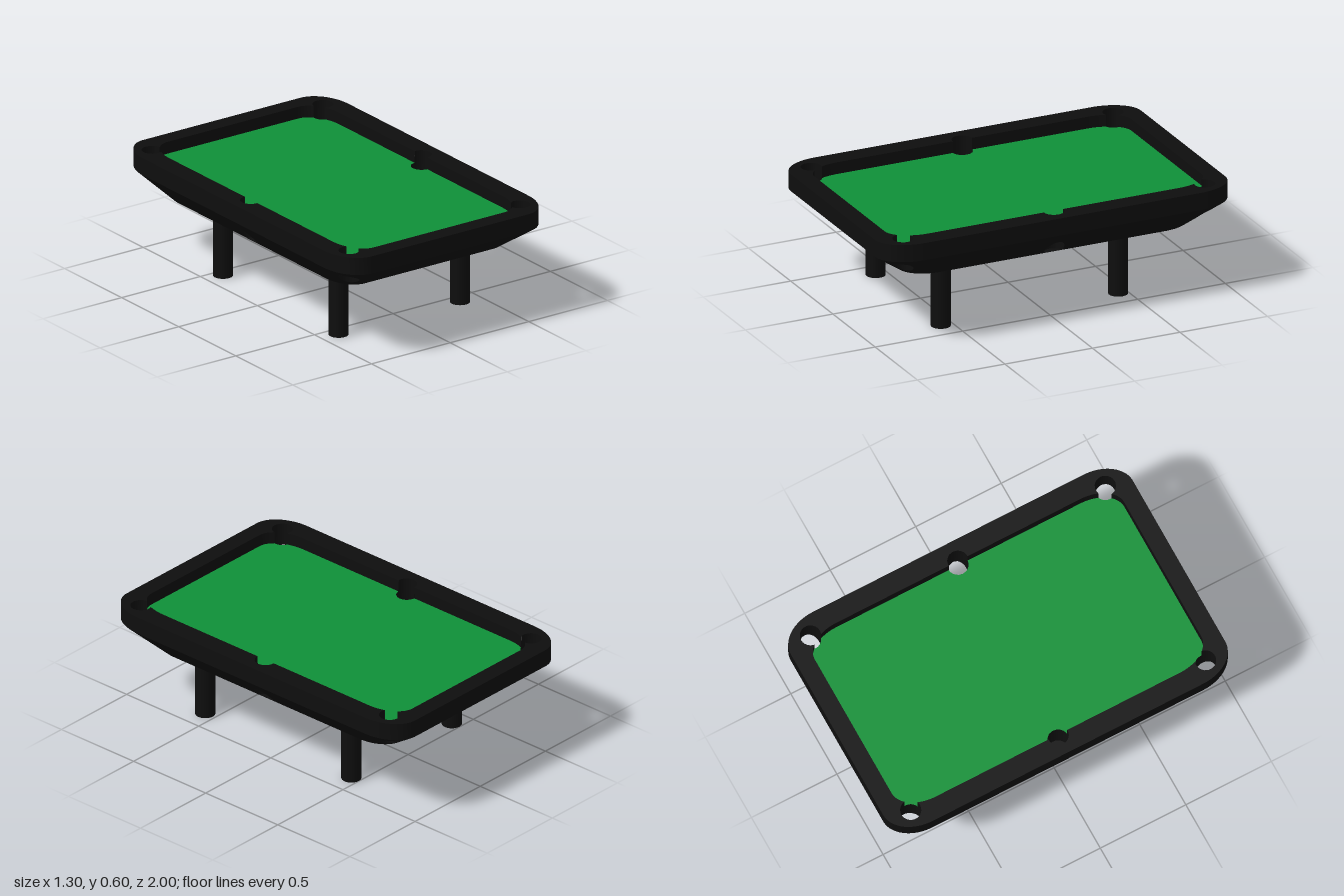
import * as THREE from 'three';
import { toCreasedNormals } from 'three/addons/utils/BufferGeometryUtils.js';

const TOP = 0.595, FELT = 0.53, EDGE = 0.5, BASE = 0.365;
const OUTER = [0.65, 1], BED = [0.54, 0.905], UNDER = [0.53, 0.815];
const RX = 0.23, RZ = 0.21; // corner radii as a share of the half sizes
const POCKET_R = 0.055;
const POCKETS = [];
for (const x of [-0.543, 0.543]) for (const z of [-0.862, 0, 0.862]) POCKETS.push([x, z]);

// Rounded rectangle of half size 1, walked from +x towards +z
function unitOutline() {
  const pts = [];
  const side = (x0, z0, x1, z1, n) => {
    for (let i = 0; i < n; i++) pts.push([x0 + (x1 - x0) * i / n, z0 + (z1 - z0) * i / n]);
  };
  const corner = (sx, sz, start, n = 20) => {
    for (let i = 0; i < n; i++) {
      const a = start + Math.PI / 2 * i / n;
      pts.push([sx * (1 - RX) + RX * Math.cos(a), sz * (1 - RZ) + RZ * Math.sin(a)]);
    }
  };
  side(1, RZ - 1, 1, 1 - RZ, 60);
  corner(1, 1, 0);
  side(1 - RX, 1, RX - 1, 1, 24);
  corner(-1, 1, Math.PI / 2);
  side(-1, 1 - RZ, -1, RZ - 1, 60);
  corner(-1, -1, Math.PI);
  side(RX - 1, -1, 1 - RX, -1, 24);
  corner(1, -1, Math.PI * 1.5);
  return pts;
}
const OUTLINE = unitOutline();

function inside(x, z, [hx, hz]) {
  const u = Math.abs(x / hx), v = Math.abs(z / hz);
  if (u > 1 || v > 1) return false;
  const cu = (u - 1 + RX) / RX, cv = (v - 1 + RZ) / RZ;
  return cu <= 0 || cv <= 0 || cu * cu + cv * cv <= 1;
}

const mix = (a, b, t) => [a[0] + (b[0] - a[0]) * t, a[1] + (b[1] - a[1]) * t];

// Height of the sloping underside above a plan position
function undersideY(x, z) {
  if (inside(x, z, UNDER)) return BASE;
  let lo = 0, hi = 1;
  for (let i = 0; i < 24; i++) {
    const m = (lo + hi) / 2;
    if (inside(x, z, mix(OUTER, UNDER, m))) lo = m; else hi = m;
  }
  return EDGE + (BASE - EDGE) * lo;
}

const pocketDistance = p =>
  Math.min(...POCKETS.map(([x, z]) => Math.hypot(p[0] - x, p[2] - z))) - POCKET_R;

// Keeps the part of a triangle that lies outside the pockets
function addCarved(out, tri) {
  const d = tri.map(pocketDistance), poly = [];
  for (let i = 0; i < 3; i++) {
    const k = (i + 1) % 3, a = tri[i], b = tri[k];
    if (d[i] >= 0) poly.push(a);
    if ((d[i] >= 0) !== (d[k] >= 0)) {
      const t = d[i] / (d[i] - d[k]);
      poly.push(a.map((v, n) => v + (b[n] - v) * t));
    }
  }
  for (let i = 1; i + 1 < poly.length; i++) out.push(...poly[0], ...poly[i], ...poly[i + 1]);
}

function toGeometry(positions) {
  const g = new THREE.BufferGeometry();
  g.setAttribute('position', new THREE.Float32BufferAttribute(positions, 3));
  return toCreasedNormals(g, 0.4);
}

// Surface through rings {size, y}, with the pockets cut out if asked
function loft(rings, carve) {
  const out = [], n = OUTLINE.length;
  const point = (r, j) => [OUTLINE[j % n][0] * r.size[0], r.y, OUTLINE[j % n][1] * r.size[1]];
  for (let i = 0; i + 1 < rings.length; i++) {
    for (let j = 0; j < n; j++) {
      const a = point(rings[i], j), b = point(rings[i], j + 1);
      const c = point(rings[i + 1], j), d = point(rings[i + 1], j + 1);
      for (const tri of [[a, b, c], [b, d, c]]) {
        if (carve) addCarved(out, tri); else out.push(...tri.flat());
      }
    }
  }
  return toGeometry(out);
}

// Evenly spaced rings between two sizes and heights
function span(s0, y0, s1, y1, n) {
  return Array.from({ length: n + 1 }, (_, i) => ({ size: mix(s0, s1, i / n), y: y0 + (y1 - y0) * i / n }));
}

// Pocket lining from the rail or bed down to the underside
function pocketLining([cx, cz]) {
  const out = [], n = 64;
  const column = i => {
    const a = i / n * Math.PI * 2;
    const x = cx + POCKET_R * Math.cos(a), z = cz + POCKET_R * Math.sin(a);
    return [[x, inside(x, z, BED) ? FELT : TOP, z], [x, undersideY(x, z), z]];
  };
  for (let i = 0; i < n; i++) {
    const [a, b] = column(i), [c, d] = column((i + 1) % n);
    out.push(...a, ...c, ...b, ...c, ...d, ...b);
  }
  return toGeometry(out);
}

export function createModel() {
  const black = new THREE.MeshStandardMaterial({ color: 0x0e0e0e, side: THREE.DoubleSide });
  black.name = 'black';
  const green = new THREE.MeshStandardMaterial({ color: 0x0f9038, side: THREE.DoubleSide });
  green.name = 'feltGreen';

  const group = new THREE.Group();
  group.name = 'poolTable';
  const add = (name, geometry, material) => {
    const mesh = new THREE.Mesh(geometry, material);
    mesh.name = name;
    group.add(mesh);
    return mesh;
  };

  // Playing surface, finer towards its edge where the pockets bite in
  const bedInner = BED.map(v => v * 0.82);
  add('felt', loft([{ size: [0, 0], y: FELT }, ...span(bedInner, FELT, BED, FELT, 10)], true), green);

  // Rail: inner wall, flat top and outer side
  add('railInnerWall', loft(span(BED, FELT, BED, TOP, 1), true), black);
  add('railTop', loft(span(BED, TOP, OUTER, TOP, 8), true), black);
  add('railSide', loft(span(OUTER, TOP, OUTER, EDGE, 1), false), black);

  // Sloping underside and flat base
  add('slopedUnderside', loft(span(OUTER, EDGE, UNDER, BASE, 12), true), black);
  add('base', loft(span(UNDER, BASE, [0, 0], BASE, 1), false), black);

  POCKETS.forEach(p => add('pocket', pocketLining(p), black));

  // Legs
  for (const x of [-0.394, 0.377]) {
    for (const z of [-0.447, 0.566]) {
      const leg = add('leg', new THREE.CylinderGeometry(0.052, 0.052, BASE + 0.01, 32), black);
      leg.position.set(x, (BASE + 0.01) / 2, z);
    }
  }
  return group;
}
